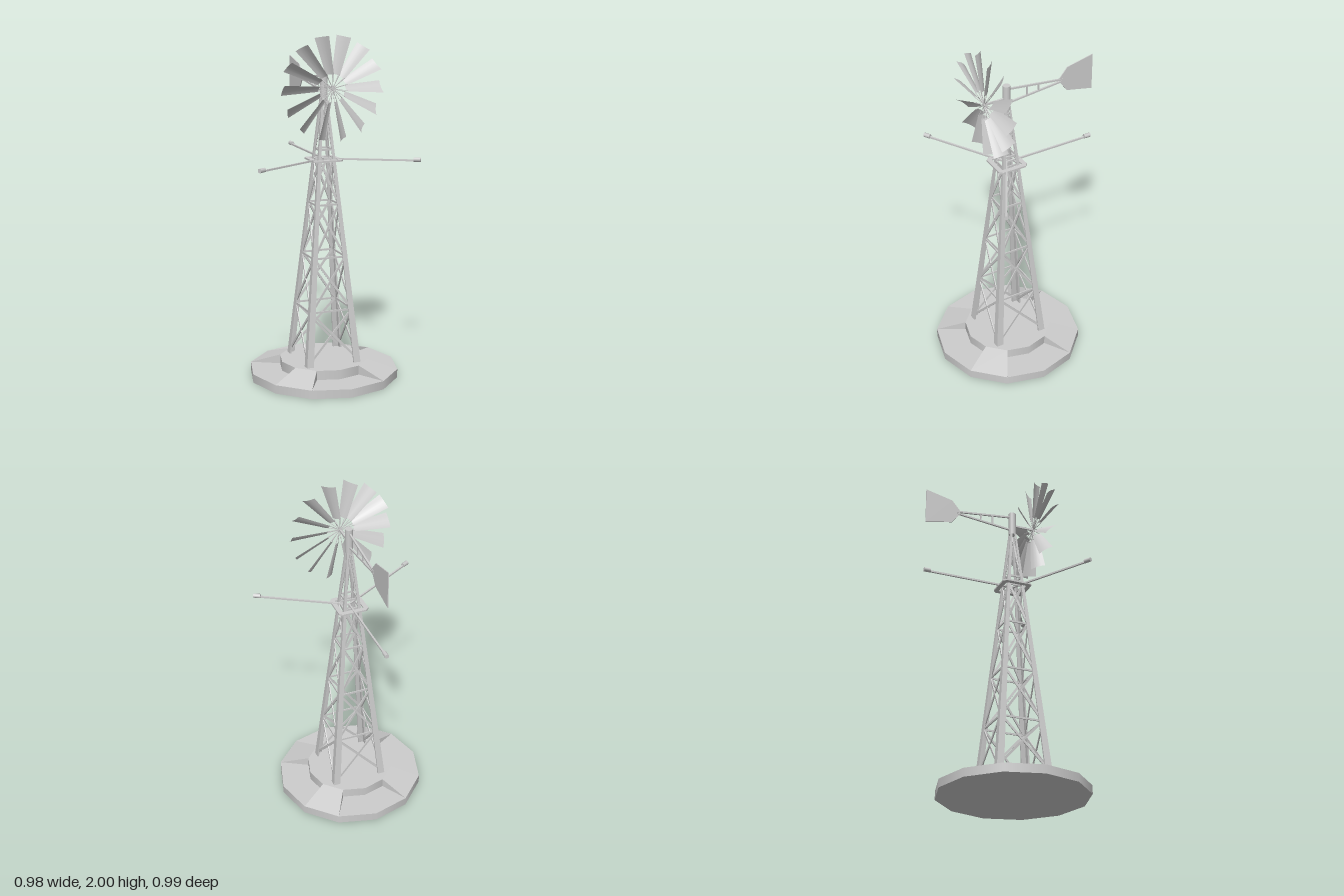
import * as THREE from 'three';
import { ConvexGeometry } from 'three/addons/geometries/ConvexGeometry.js';

const V = (x, y, z) => new THREE.Vector3(x, y, z);
const UP = V(0, 1, 0);
const grey = new THREE.MeshStandardMaterial({ color: 0xcccccc, side: THREE.DoubleSide });
grey.name = 'grey';

function add(parent, name, geometry, x = 0, y = 0, z = 0) {
  const m = new THREE.Mesh(geometry, grey);
  m.name = name;
  m.position.set(x, y, z);
  parent.add(m);
  return m;
}

// Box-section bar from a to b, in the parent's own frame
function bar(parent, name, a, b, w, h = w) {
  const m = add(parent, name, new THREE.BoxGeometry(w, h, a.distanceTo(b)));
  m.position.copy(a).lerp(b, 0.5);
  m.quaternion.setFromRotationMatrix(new THREE.Matrix4().lookAt(a, b, UP));
  return m;
}

function group(parent, name) {
  const g = new THREE.Group();
  g.name = name;
  parent.add(g);
  return g;
}

const shape = pts => new THREE.Shape(pts.map(p => new THREE.Vector2(...p)));
const FOOT = 0.1, HEAD = 1.65;
const taper = (y, a, b) => a + (b - a) * (y - FOOT) / (HEAD - FOOT);
const half = y => taper(y, 0.167, 0.018);

// Tapered angle-iron leg, leaning to the centre
function legGeometry() {
  const s = shape([[0, 0], [-1, 0], [-1, -0.25], [-0.25, -0.25], [-0.25, -1], [0, -1]]);
  const g = new THREE.ExtrudeGeometry(s, { depth: 1, bevelEnabled: false });
  const p = g.attributes.position;
  for (let i = 0; i < p.count; i++) {
    const y = FOOT + p.getZ(i) * (HEAD - FOOT), w = taper(y, 0.042, 0.011);
    p.setXYZ(i, half(y) + p.getX(i) * w, y, -(half(y) + p.getY(i) * w));
  }
  g.computeVertexNormals();
  return g;
}

function buildBase(parent) {
  const base = group(parent, 'base');
  add(base, 'baseSlab', new THREE.CylinderGeometry(0.438, 0.438, 0.05, 12), 0, 0.025, 0);
  add(base, 'baseDrum', new THREE.CylinderGeometry(0.26, 0.26, 0.055, 12), 0, 0.0775, 0);
  // Sloping wedges on the diagonals, leaving four notches
  for (let i = 0; i < 4; i++) {
    const pts = [];
    for (const deg of [30, 60]) {
      const a = THREE.MathUtils.degToRad(deg + 90 * i), c = Math.cos(a), s = Math.sin(a);
      pts.push(V(0.26 * c, 0.05, 0.26 * s), V(0.26 * c, 0.105, 0.26 * s), V(0.437 * c, 0.05, 0.437 * s));
    }
    add(base, 'baseWedge', new ConvexGeometry(pts));
  }
}

function buildTower(parent) {
  const tower = group(parent, 'tower');
  const leg = legGeometry();
  const levels = [0.12, 0.42, 0.73, 1.035, 1.29];
  for (let i = 0; i < 4; i++) {
    const side = group(tower, 'towerSide');
    side.rotation.y = i * Math.PI / 2;
    add(side, 'leg', leg);
    const at = (y, s) => V(s * (half(y) - 0.012), y, half(y) - 0.008);
    for (const y of [0.42, 0.73, 1.035, 1.29, 1.35]) bar(side, 'girt', at(y, -1), at(y, 1), 0.006, 0.011);
    for (let k = 0; k < 4; k++) {
      for (const s of [-1, 1]) bar(side, 'crossBrace', at(levels[k], s), at(levels[k + 1], -s), 0.006, 0.013);
    }
    for (const s of [-1, 1]) bar(side, 'topBrace', at(1.35, s), at(1.62, -s * 0.5), 0.005, 0.007);
  }

  // Square platform frame with clipped corners
  const a = 0.09, c = 0.072, h = 0.063;
  const frame = shape([[a, -c], [a, c], [c, a], [-c, a], [-a, c], [-a, -c], [-c, -a], [c, -a]]);
  frame.holes.push(shape([[h, h], [h, -h], [-h, -h], [-h, h]]));
  add(tower, 'platform', new THREE.ExtrudeGeometry(frame, { depth: 0.01, bevelEnabled: false }), 0, 1.285, 0)
    .rotation.x = -Math.PI / 2;

  // Three arms with end caps
  for (let i = 0; i < 3; i++) {
    const arm = group(tower, 'arm');
    arm.rotation.y = Math.PI + i * Math.PI * 2 / 3;
    bar(arm, 'armRod', V(0, 1.293, 0), V(0, 1.296, 0.53), 0.01);
    add(arm, 'armCap', new THREE.CylinderGeometry(0.013, 0.013, 0.04, 8), 0, 1.301, 0.536).rotation.x = Math.PI / 2;
  }
}

// Curved, pitched blade running along +x
function bladeGeometry() {
  const g = new THREE.PlaneGeometry(1, 1, 1, 4);
  const p = g.attributes.position;
  for (let i = 0; i < p.count; i++) {
    const u = p.getX(i) + 0.5, v = p.getY(i) * 2, bow = 0.005 * (1 - v * v);
    const r = 0.08 + 0.215 * u, w = 0.017 + 0.014 * u;
    p.setXYZ(i, r, v * w - bow, -v * (0.02 + 0.013 * u) - bow);
  }
  g.computeVertexNormals();
  return g;
}

function buildWheel(parent) {
  const wheel = group(parent, 'wheel');
  wheel.position.set(0, 1.71, 0.138);
  const blade = bladeGeometry();
  for (let i = 0; i < 14; i++) {
    const g = group(wheel, 'bladeArm');
    g.rotation.z = i * Math.PI * 2 / 14;
    add(g, 'blade', blade);
    for (const s of [-1, 1]) bar(g, 'spoke', V(0.006, 0, 0), V(0.085, s * 0.015, -s * 0.018), 0.003);
  }
  add(wheel, 'hub', new THREE.CylinderGeometry(0.01, 0.01, 0.014, 12)).rotation.x = Math.PI / 2;
  bar(wheel, 'shaft', V(0, 0, -0.137), V(0, 0, 0.006), 0.011);
}

function buildTail(parent) {
  const tail = group(parent, 'tail');
  const top = z => V(0, 1.765 + (z + 0.02) * 0.11, z);
  const low = z => V(0, 1.68 - (z + 0.02) * 0.11, z);
  bar(tail, 'upperBoom', top(-0.01), top(-0.36), 0.01);
  bar(tail, 'lowerBoom', low(-0.01), low(-0.36), 0.01);
  for (const z of [-0.13, -0.205]) bar(tail, 'boomStrut', top(z), low(z), 0.008);
  // Vane plate, drawn with length along x and then turned to the rear
  const s = shape([[0.34, 1.715], [0.39, 1.65], [0.555, 1.617], [0.555, 1.835], [0.39, 1.797], [0.34, 1.737]]);
  add(tail, 'vane', new THREE.ExtrudeGeometry(s, { depth: 0.005, bevelEnabled: false }), -0.0025, 0, 0)
    .rotation.y = Math.PI / 2;
}

export function createModel() {
  const model = new THREE.Group();
  model.name = 'windPump';
  const body = group(model, 'body');
  body.position.z = 0.058;
  buildBase(body);
  buildTower(body);
  add(body, 'headPost', new THREE.CylinderGeometry(0.022, 0.022, 0.147, 12), 0, 1.718, 0);
  buildWheel(body);
  buildTail(body);
  return model;
}
